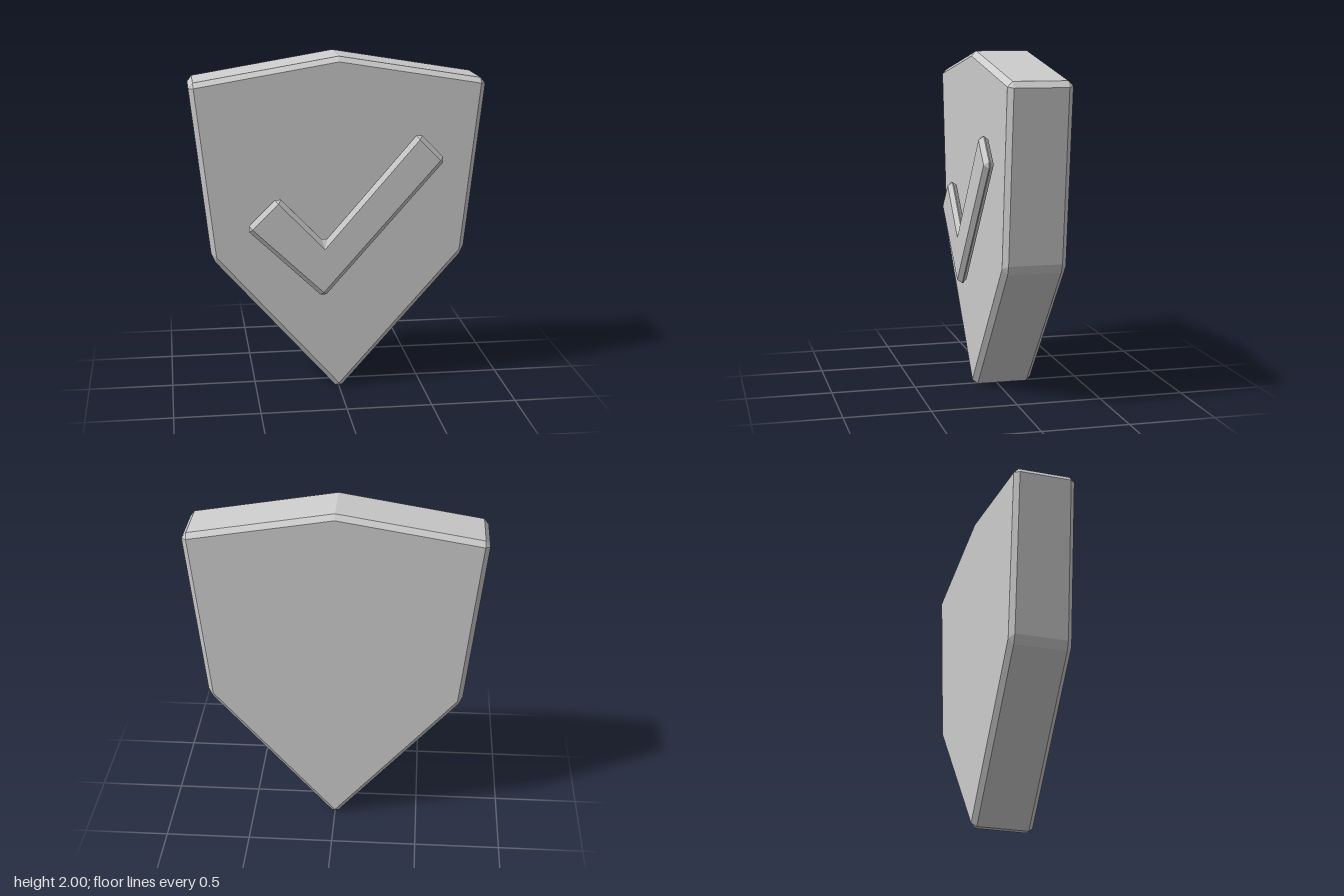
import * as THREE from 'three';

// Bevelled slab from a counter-clockwise outline of [x, y, trim]; trim cuts each corner along its edges.
function bevelledSlab(outline, zBack, zFront, bevel) {
  const n = outline.length;
  const pts = outline.map(([x, y]) => new THREE.Vector2(x, y));
  const inner = [], before = [], after = [];
  pts.forEach((p, i) => {
    const d0 = p.clone().sub(pts[(i + n - 1) % n]).normalize();
    const d1 = pts[(i + 1) % n].clone().sub(p).normalize();
    // mitred inset towards the left of both edges
    const n0 = new THREE.Vector2(-d0.y, d0.x);
    const n1 = new THREE.Vector2(-d1.y, d1.x);
    const mitre = n0.clone().add(n1).multiplyScalar(bevel / (1 + n0.dot(n1)));
    inner.push(p.clone().add(mitre));
    before.push(p.clone().addScaledVector(d0, -outline[i][2]));
    after.push(p.clone().addScaledVector(d1, outline[i][2]));
  });

  const pos = [];
  const at = (p, z) => new THREE.Vector3(p.x, p.y, z);
  const tri = (a, b, c) => {
    const area = b.clone().sub(a).cross(c.clone().sub(a)).length();
    if (area > 1e-8) pos.push(...a, ...b, ...c);
  };
  const quad = (a, b, c, d) => { tri(a, b, c); tri(a, c, d); };
  const zf = zFront - bevel, zb = zBack + bevel;

  // front and back faces
  for (const [a, b, c] of THREE.ShapeUtils.triangulateShape(inner, [])) {
    tri(at(inner[a], zFront), at(inner[b], zFront), at(inner[c], zFront));
    tri(at(inner[c], zBack), at(inner[b], zBack), at(inner[a], zBack));
  }
  for (let i = 0; i < n; i++) {
    const j = (i + 1) % n;
    // bevel strips and the wall along one edge
    quad(at(inner[i], zFront), at(after[i], zf), at(before[j], zf), at(inner[j], zFront));
    quad(at(inner[j], zBack), at(before[j], zb), at(after[i], zb), at(inner[i], zBack));
    quad(at(after[i], zf), at(after[i], zb), at(before[j], zb), at(before[j], zf));
    // trimmed corner
    tri(at(inner[i], zFront), at(before[i], zf), at(after[i], zf));
    tri(at(inner[i], zBack), at(after[i], zb), at(before[i], zb));
    quad(at(before[i], zf), at(before[i], zb), at(after[i], zb), at(after[i], zf));
  }
  const geometry = new THREE.BufferGeometry();
  geometry.setAttribute('position', new THREE.Float32BufferAttribute(pos, 3));
  geometry.computeVertexNormals();
  return geometry;
}

export function createModel() {
  const group = new THREE.Group();
  group.name = 'shieldWithCheckMark';
  const grey = new THREE.MeshStandardMaterial({ color: 0xcccccc });
  grey.name = 'light grey';

  const add = (name, geometry) => {
    const mesh = new THREE.Mesh(geometry, grey);
    mesh.name = name;
    group.add(mesh);
  };

  // shield body, peaked at the top and pointed at the bottom
  const t = 0.03;
  add('shield', bevelledSlab([
    [0, -0.021, 0.028], [0.749, 0.827, t], [0.862, 1.857, t],
    [0, 2, 0],
    [-0.862, 1.857, t], [-0.749, 0.827, t],
  ], -0.216, 0.147, 0.029));

  // check mark floating just in front of the shield
  const c = 0.025;
  add('checkMark', bevelledSlab([
    [-0.098, 0.585, c], [0.619, 1.397, c], [0.46, 1.561, c],
    [-0.093, 0.923, c], [-0.362, 1.203, c], [-0.55, 1.016, c],
  ], 0.159, 0.216, 0.026));

  return group;
}
